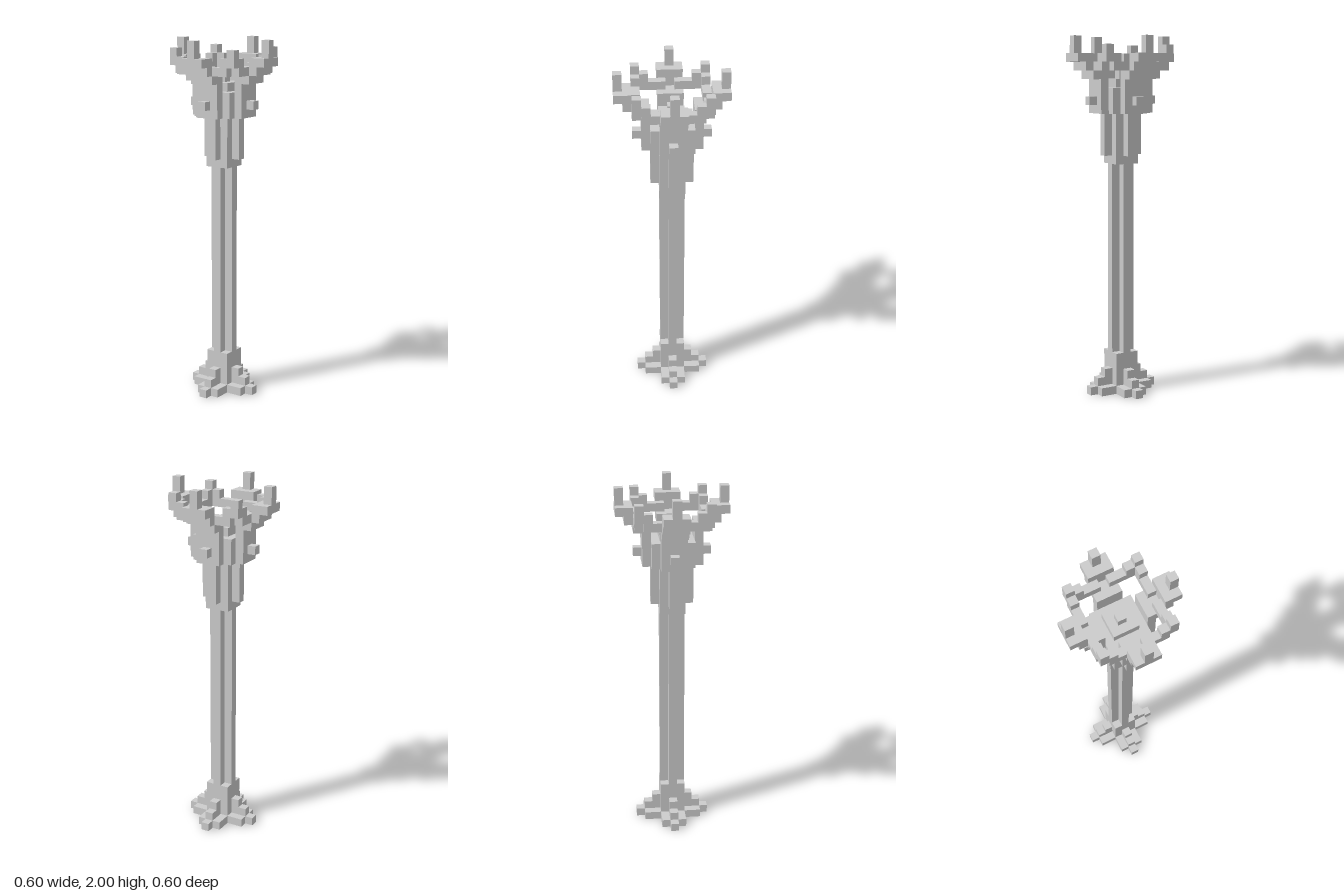
import * as THREE from 'three';

const U = 2 / 43; // one block of the grid
const material = new THREE.MeshStandardMaterial({ color: 0xcccccc, flatShading: true });

// Box covering whole blocks from (x0,y0,z0) to (x1,y1,z1), inclusive; block 0 is centred on the axis
function blocks(parent, name, [x0, x1], [y0, y1], [z0, z1]) {
  const size = [x1 - x0 + 1, y1 - y0 + 1, z1 - z0 + 1].map((n) => n * U);
  const mesh = new THREE.Mesh(new THREE.BoxGeometry(...size), material);
  mesh.name = name;
  mesh.position.set((x0 + x1) / 2 * U, (y0 + y1 + 1) / 2 * U, (z0 + z1) / 2 * U);
  parent.add(mesh);
}

// Parts repeated on each of the four sides, built facing +z
function createSide() {
  const side = new THREE.Group();

  // stepped foot
  blocks(side, 'footPad', [-1, 1], [0, 0], [2, 3]);
  blocks(side, 'footToe', [0, 0], [0, 0], [4, 4]);
  blocks(side, 'footStep', [0, 0], [1, 1], [2, 3]);
  blocks(side, 'footTopStep', [0, 0], [2, 2], [2, 2]);

  // fluted shaft, collar rib and head
  blocks(side, 'shaftRib', [0, 0], [5, 27], [1, 1]);
  blocks(side, 'collarRib', [0, 0], [29, 33], [2, 2]);
  blocks(side, 'headPlate', [-1, 1], [34, 37], [3, 3]);
  blocks(side, 'stud', [0, 0], [35, 35], [4, 4]);

  // crown arm stepping outwards to a spike
  blocks(side, 'armLower', [-1, 1], [38, 38], [3, 4]);
  blocks(side, 'armMiddle', [-1, 1], [39, 39], [5, 5]);
  blocks(side, 'armUpper', [-1, 1], [40, 40], [5, 6]);
  blocks(side, 'armSpike', [0, 0], [41, 42], [6, 6]);

  // crown ring rising to the corners
  for (const s of [-1, 1]) {
    const span = (a, b) => (s > 0 ? [a, b] : [-b, -a]);
    blocks(side, 'ringRail', span(1, 3), [39, 39], [4, 4]);
    blocks(side, 'ringStep', span(3, 3), [40, 40], [4, 4]);
  }
  blocks(side, 'ringCorner', [4, 4], [40, 41], [4, 4]);
  return side;
}

export function createModel() {
  const model = new THREE.Group();
  model.name = 'pillar';

  // central core
  blocks(model, 'baseCore', [-1, 1], [0, 4], [-1, 1]);
  blocks(model, 'shaftCore', [0, 0], [5, 27], [0, 0]);
  blocks(model, 'collarCore', [-1, 1], [28, 33], [-1, 1]);
  blocks(model, 'headBlock', [-2, 2], [34, 36], [-2, 2]);
  blocks(model, 'headCap', [-1, 1], [37, 37], [-1, 1]);
  blocks(model, 'headKnob', [0, 0], [38, 38], [0, 0]);

  ['front', 'left', 'back', 'right'].forEach((name, i) => {
    const side = createSide();
    side.name = name + 'Side';
    side.rotation.y = i * Math.PI / 2;
    model.add(side);
  });
  return model;
}
